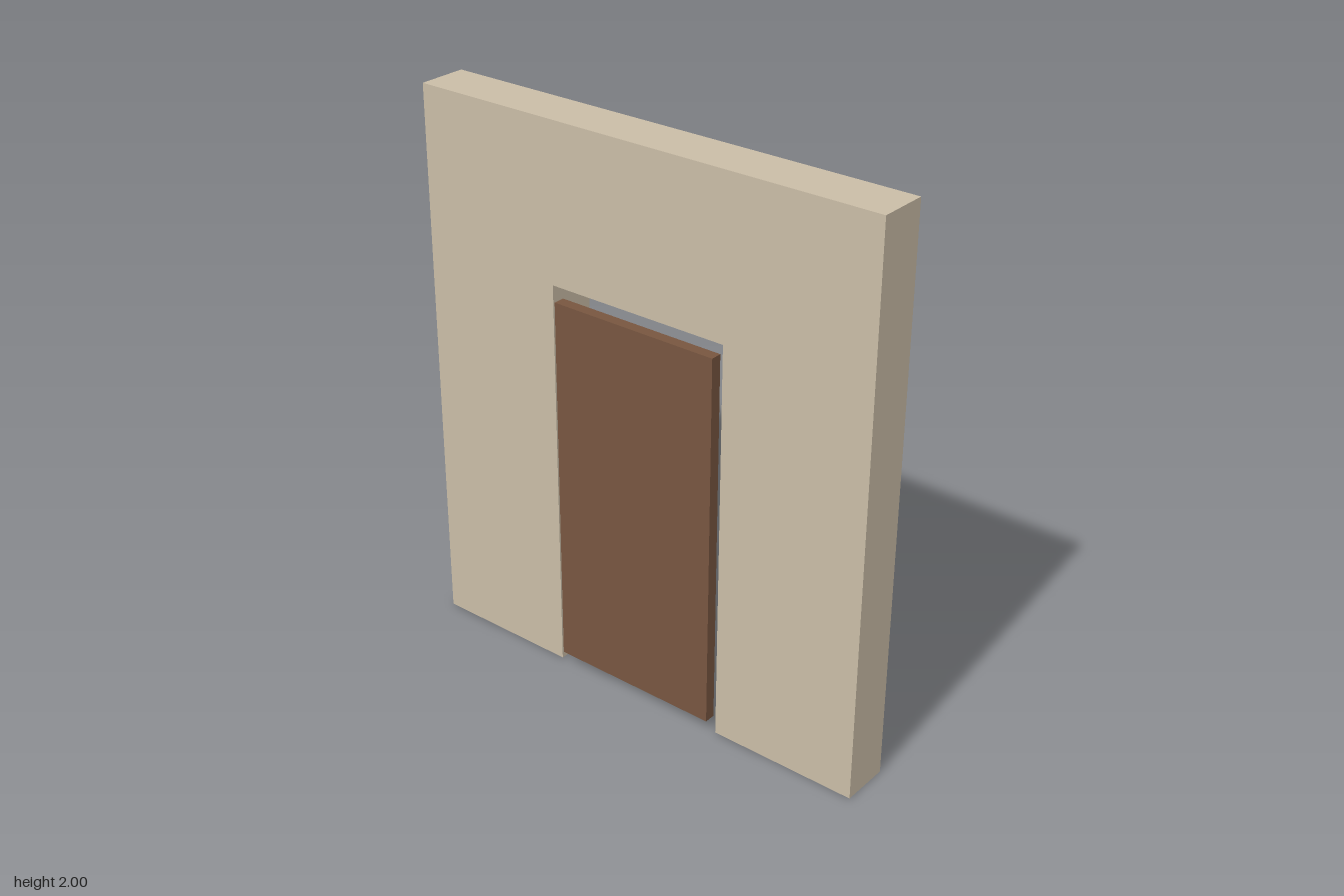
import * as THREE from 'three';

const WALL = { halfWidth: 0.882, height: 2, back: -0.098, front: 0.078 };
const OPENING = { halfWidth: 0.341, height: 1.444 };
const DOOR = { width: 0.634, bottom: 0.046, top: 1.398, thickness: 0.04 };

export function createModel() {
  const model = new THREE.Group();
  model.name = 'doorway';

  // Wall: one outline with the doorway notched out of its lower edge
  const { halfWidth: w, height: h } = WALL;
  const { halfWidth: o, height: t } = OPENING;
  const outline = new THREE.Shape(
    [[-w, 0], [-o, 0], [-o, t], [o, t], [o, 0], [w, 0], [w, h], [-w, h]]
      .map(([x, y]) => new THREE.Vector2(x, y))
  );
  const wall = new THREE.Mesh(
    new THREE.ExtrudeGeometry(outline, { depth: WALL.front - WALL.back, bevelEnabled: false }),
    new THREE.MeshStandardMaterial({ color: 0xcabda7 })
  );
  wall.name = 'wall';
  wall.position.z = WALL.back;
  model.add(wall);

  // Door: a thin slab hung half proud of the wall's front face
  const door = new THREE.Mesh(
    new THREE.BoxGeometry(DOOR.width, DOOR.top - DOOR.bottom, DOOR.thickness),
    new THREE.MeshStandardMaterial({ color: 0x785640 })
  );
  door.name = 'door';
  door.position.set(0, (DOOR.top + DOOR.bottom) / 2, WALL.front);
  model.add(door);

  return model;
}
